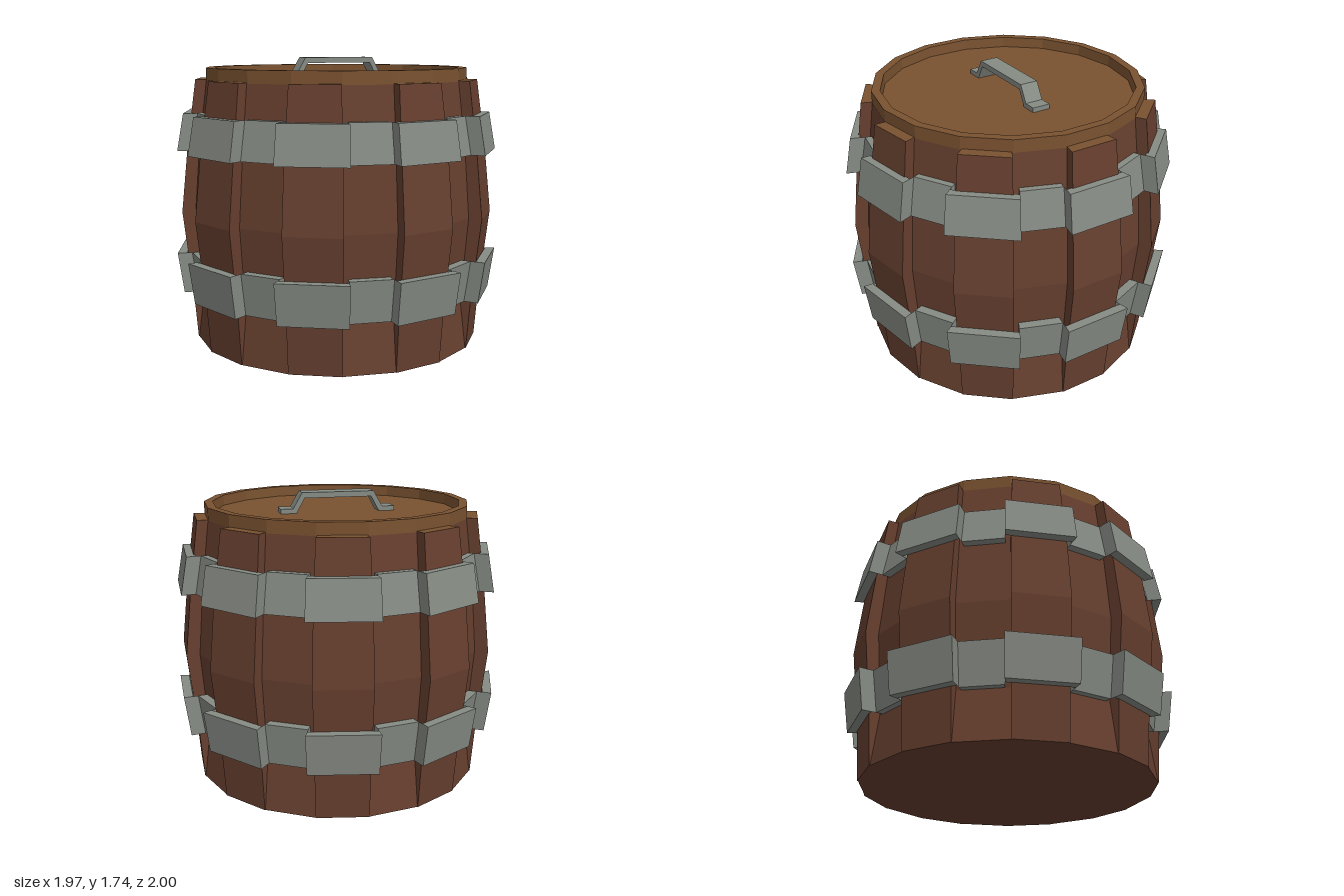
import * as THREE from 'three';

const material = (color) =>
  new THREE.MeshStandardMaterial({ color, flatShading: true });

// Outline of 9 raised staves alternating with 9 sunken ones.
// raised / sunken are distances to the flat faces; half is half a raised stave's angle in degrees.
function outline(y, raised, sunken = raised, half = 10) {
  const points = [];
  const add = (flat, halfAngle, centre) => {
    const r = flat / Math.cos(THREE.MathUtils.degToRad(halfAngle));
    for (const side of [-1, 1]) {
      const a = THREE.MathUtils.degToRad(centre + side * halfAngle);
      points.push(new THREE.Vector3(r * Math.cos(a), y, r * Math.sin(a)));
    }
  };
  for (let i = 0; i < 9; i++) {
    add(raised, half, i * 40);
    add(sunken, 20 - half, i * 40 + 20);
  }
  return points;
}

// Joins successive outlines with flat faces, leaving out collapsed triangles.
function loft(rings) {
  const positions = [];
  const triangle = (a, b, c) => {
    const e1 = b.clone().sub(a), e2 = c.clone().sub(a);
    if (e1.cross(e2).length() < 1e-7) return;
    for (const p of [a, b, c]) positions.push(p.x, p.y, p.z);
  };
  for (let k = 0; k < rings.length - 1; k++) {
    const low = rings[k], high = rings[k + 1];
    for (let i = 0; i < low.length; i++) {
      const j = (i + 1) % low.length;
      triangle(low[i], high[i], low[j]);
      triangle(low[j], high[i], high[j]);
    }
  }
  const geometry = new THREE.BufferGeometry();
  geometry.setAttribute('position', new THREE.Float32BufferAttribute(positions, 3));
  geometry.computeVertexNormals();
  return geometry;
}

export function createModel() {
  const group = new THREE.Group();
  const wood = material(0x663f2f);
  const lidWood = material(0x7a5230);
  const iron = material(0x868b84);

  const addMesh = (name, geometry, mat) => {
    const mesh = new THREE.Mesh(geometry, mat);
    mesh.name = name;
    group.add(mesh);
  };

  // Bulging staves with a closed, even base
  addMesh('staves', loft([
    outline(0, 0),
    outline(0, 0.872, 0.868),
    outline(0.3, 0.895, 0.83),
    outline(0.8, 0.95, 0.87),
    outline(1.2, 0.908, 0.838),
    outline(1.605, 0.853, 0.785, 9.5),
  ]), wood);

  // Stave ends
  addMesh('staveTops', loft([
    outline(1.605, 0.853, 0.785, 9.5),
    outline(1.605, 0),
  ]), lidWood);

  // Iron hoops stepping in and out with the staves
  const addHoop = (name, y0, r0, y1, r1) => {
    const step = 0.075, thickness = 0.055;
    const ring = (y, r) => outline(y, r, r - step, 12);
    addMesh(name, loft([
      ring(y0, r0), ring(y1, r1),
      ring(y1, r1 - thickness), ring(y0, r0 - thickness), ring(y0, r0),
    ]), iron);
  };
  addHoop('lowerHoop', 0.3, 0.945, 0.55, 0.98);
  addHoop('upperHoop', 1.18, 0.965, 1.405, 0.925);

  // Lid: raised rim around a sunken floor
  addMesh('lid', loft([
    outline(1.6, 0.788),
    outline(1.675, 0.788),
    outline(1.675, 0.738),
    outline(1.612, 0.735),
    outline(1.612, 0),
  ]), lidWood);

  // Bent strap handle with flat feet
  const half = [[0.22, 1.735], [0.275, 1.64], [0.35, 1.64], [0.35, 1.61], [0.255, 1.61], [0.205, 1.702]];
  const profile = [...half, ...half.map(([x, y]) => [-x, y]).reverse()];
  const handle = new THREE.ExtrudeGeometry(
    new THREE.Shape(profile.map(([x, y]) => new THREE.Vector2(x, y))),
    { depth: 0.11, bevelEnabled: false });
  handle.translate(0, 0, -0.058);
  addMesh('handle', handle, iron);

  return group;
}
